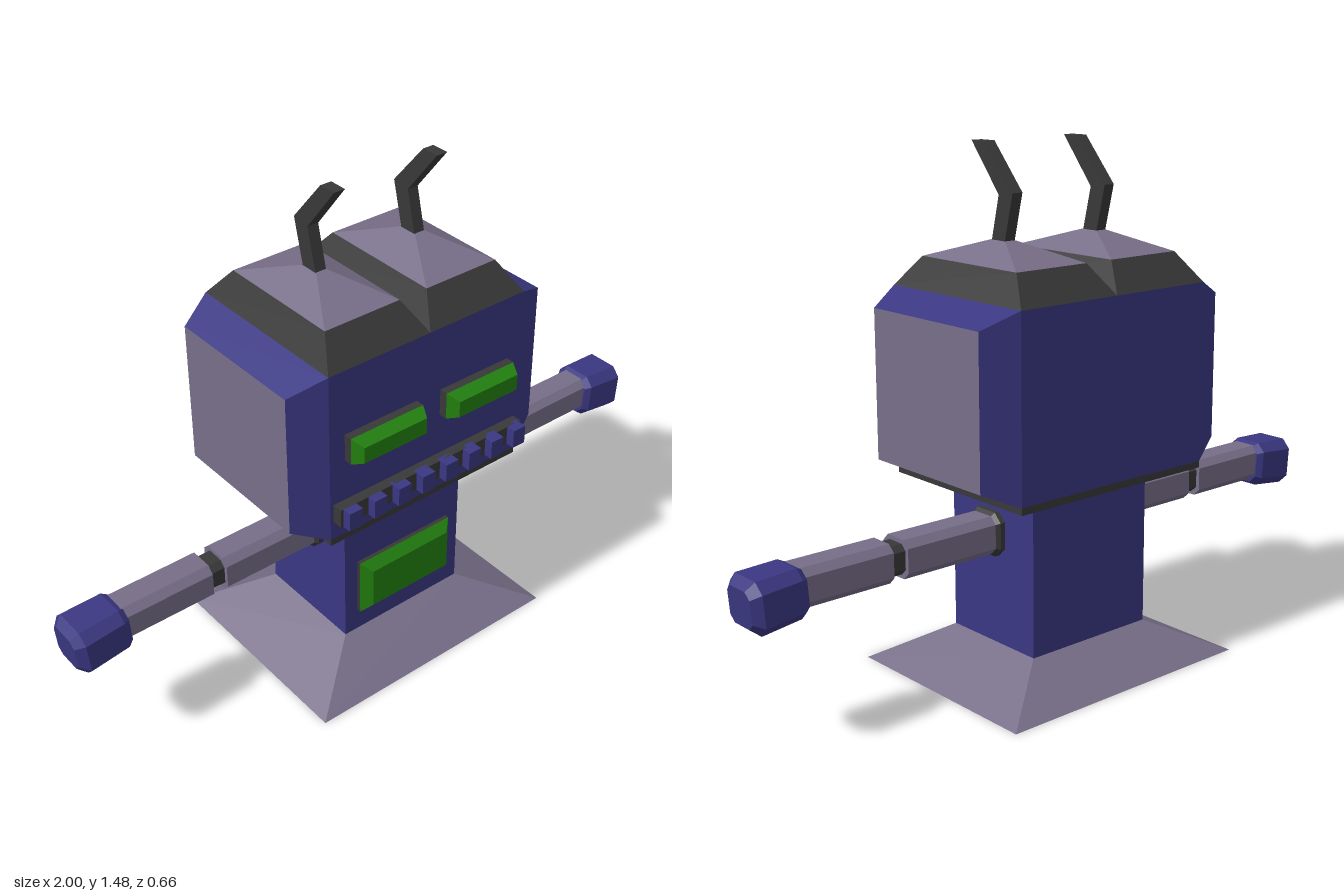
import * as THREE from 'three';

const mat = (color) => new THREE.MeshStandardMaterial({ color, flatShading: true });
const blue = mat(0x3a3782), grey = mat(0x776e88), dark = mat(0x383838), green = mat(0x22800f);

// In-plane axes (u, v) chosen so that u x v points along the loft axis
const PLANE = { x: [1, 2, 0], y: [2, 0, 1], z: [0, 1, 2] };

// Loft of rectangular rings [t, halfU, halfV, chamfer] along an axis, with optional end caps
function loft(axis, rings, startCap = true, endCap = true) {
  const [iu, iv, it] = PLANE[axis];
  const loops = rings.map(([t, a, b, c = 0]) => {
    const uv = c
      ? [[a, -b + c], [a, b - c], [a - c, b], [-a + c, b], [-a, b - c], [-a, -b + c], [-a + c, -b], [a - c, -b]]
      : [[a, -b], [a, b], [-a, b], [-a, -b]];
    return uv.map(([u, v]) => {
      const p = [0, 0, 0];
      p[iu] = u; p[iv] = v; p[it] = t;
      return p;
    });
  });
  const pos = [];
  const tri = (...pts) => pts.forEach((p) => pos.push(...p));
  const n = loops[0].length;
  for (let k = 0; k < loops.length - 1; k++) {
    for (let i = 0; i < n; i++) {
      const j = (i + 1) % n, lo = loops[k], hi = loops[k + 1];
      tri(lo[i], lo[j], hi[j]);
      tri(lo[i], hi[j], hi[i]);
    }
  }
  const first = loops[0], last = loops[loops.length - 1];
  for (let i = 1; i < n - 1; i++) {
    if (startCap) tri(first[0], first[i + 1], first[i]);
    if (endCap) tri(last[0], last[i], last[i + 1]);
  }
  const g = new THREE.BufferGeometry();
  g.setAttribute('position', new THREE.Float32BufferAttribute(pos, 3));
  g.computeVertexNormals();
  return g;
}

function add(parent, name, geometry, material, x = 0, y = 0, z = 0) {
  const m = new THREE.Mesh(geometry, material);
  m.name = name;
  m.position.set(x, y, z);
  parent.add(m);
  return m;
}

function group(parent, name, x = 0, y = 0, z = 0) {
  const g = new THREE.Group();
  g.name = name;
  g.position.set(x, y, z);
  parent.add(g);
  return g;
}

// Dark backing with a bevelled green pane, facing +z
function panel(parent, name, x, y, z, w, h, back, front, inset) {
  const g = group(parent, name, x, y, z);
  add(g, 'backing', loft('z', [[0, w, h], [back, w, h]]), dark);
  add(g, 'pane', loft('z', [[back, w, h], [front, w - inset, h - inset]], false), green);
}

function addArm(parent, name, turn) {
  const arm = group(parent, name, 0, 0.422, 0.01);
  arm.rotation.y = turn;
  add(arm, 'shoulder', loft('x', [[0.2, 0.063, 0.063, 0.025], [0.225, 0.063, 0.063, 0.025], [0.24, 0.05, 0.05, 0.018]]), dark);
  add(arm, 'upperArm', loft('x', [[0.235, 0.054, 0.054, 0.02], [0.53, 0.054, 0.054, 0.02]]), grey);
  add(arm, 'elbow', loft('x', [[0.53, 0.042, 0.042, 0.016], [0.577, 0.042, 0.042, 0.016]]), dark);
  add(arm, 'forearm', loft('x', [[0.575, 0.054, 0.054, 0.02], [0.85, 0.054, 0.054, 0.02]]), grey);
  const hand = add(arm, 'hand', loft('x', [
    [0, 0.058, 0.058, 0.022], [0.018, 0.068, 0.07, 0.026],
    [0.136, 0.072, 0.075, 0.028], [0.16, 0.05, 0.052, 0.018],
  ]), blue, 0.837, -0.006);
  hand.rotation.z = -0.08;
}

export function createModel() {
  const model = new THREE.Group();
  model.name = 'robot';

  // Skirted base and torso
  add(model, 'skirt', loft('y', [[0, 0.33, 0.41], [0.1, 0.17, 0.21]], false), grey);
  const bottom = add(model, 'baseBottom', new THREE.PlaneGeometry(0.82, 0.66), blue);
  bottom.rotation.x = Math.PI / 2;
  add(model, 'torso', loft('y', [[0.1, 0.17, 0.21], [0.56, 0.17, 0.21]]), blue);
  panel(model, 'chestPanel', 0, 0.26, 0.17, 0.165, 0.09, 0.012, 0.037, 0.028);

  // Head with bevelled cheeks
  const head = group(model, 'head');
  add(head, 'chinPlate', loft('y', [[0.535, 0.205, 0.23], [0.557, 0.265, 0.33], [0.578, 0.265, 0.33]]), dark);
  add(head, 'skull', loft('x', [
    [-0.43, 0.21, 0.22], [-0.33, 0.256, 0.265], [0.33, 0.256, 0.265], [0.43, 0.21, 0.22],
  ], false, false), blue, 0, 0.832);
  for (const s of [-1, 1]) {
    const side = add(head, s > 0 ? 'leftCheek' : 'rightCheek', new THREE.PlaneGeometry(0.44, 0.42), grey, s * 0.43, 0.832);
    side.rotation.y = s * Math.PI / 2;
  }

  // Eyes
  for (const s of [-1, 1]) {
    panel(head, s > 0 ? 'leftEye' : 'rightEye', s * 0.161, 0.856, 0.26, 0.12, 0.04, 0.03, 0.065, 0.016);
  }

  // Mouth bar with eight teeth
  add(head, 'mouth', new THREE.BoxGeometry(0.64, 0.056, 0.04), dark, 0, 0.661, 0.276);
  for (let i = 0; i < 8; i++) {
    add(head, 'tooth', new THREE.BoxGeometry(0.043, 0.056, 0.04), blue, (i - 3.5) * 0.083, 0.661, 0.303);
  }

  // Twin crowns, each carrying a bent antenna
  const bend = new THREE.Shape([
    [0.028, 1.21], [-0.025, 1.21], [-0.06, 1.35], [0.052, 1.478], [0.106, 1.478], [-0.004, 1.342],
  ].map(([z, y]) => new THREE.Vector2(z, y)));
  const antenna = new THREE.ExtrudeGeometry(bend, { depth: 0.034, bevelEnabled: false });
  antenna.translate(0, 0, -0.017).rotateY(-Math.PI / 2);
  for (const s of [-1, 1]) {
    const crown = group(head, s > 0 ? 'leftCrown' : 'rightCrown', s * 0.165);
    add(crown, 'crownBase', loft('y', [[1.088, 0.265, 0.165], [1.17, 0.195, 0.12]]), dark);
    add(crown, 'crownTop', loft('y', [[1.17, 0.195, 0.12], [1.222, 0.03, 0.018]], false), grey);
    add(crown, 'antenna', antenna, dark);
  }

  // Arms
  addArm(model, 'leftArm', 0);
  addArm(model, 'rightArm', Math.PI);
  model.getObjectByName('rightArm').position.z = 0.01;

  return model;
}
